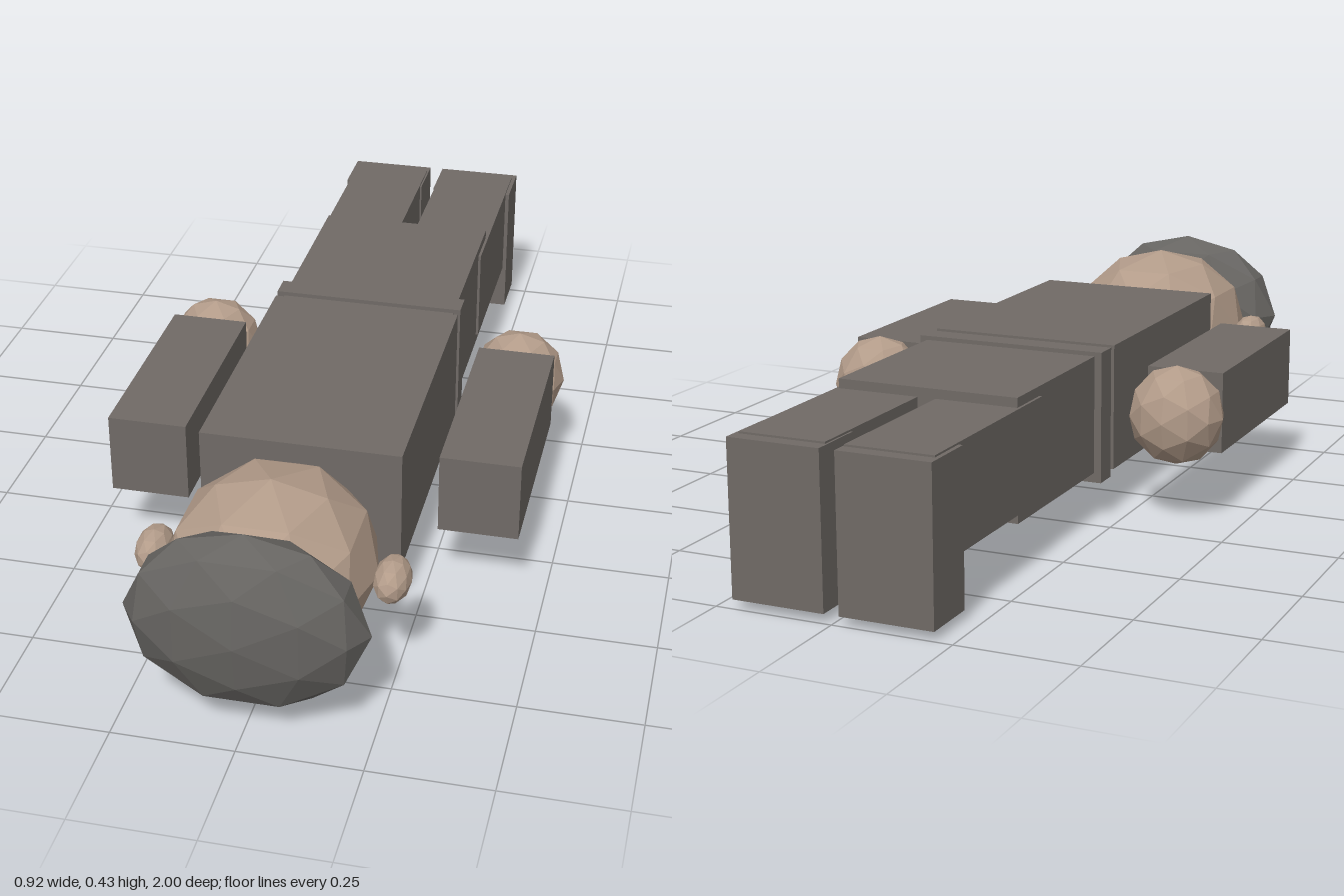
import * as THREE from 'three';

const paint = (name, color) => {
  const m = new THREE.MeshStandardMaterial({ color });
  m.name = name;
  m.flatShading = true;
  return m;
};

// A figure lying face down: head towards +z, face towards the ground
export function createModel() {
  const cloth = paint('cloth grey', 0x706a66);
  const skin = paint('skin tan', 0xb29b89);
  const dark = paint('hair grey', 0x666461);
  const model = new THREE.Group();
  model.name = 'lyingFigure';

  const add = (name, geometry, material) => {
    const mesh = new THREE.Mesh(geometry, material);
    mesh.name = name;
    model.add(mesh);
    return mesh;
  };
  // Box given by its extents on each axis
  const box = (name, [x0, x1], [y0, y1], [z0, z1], material) =>
    add(name, new THREE.BoxGeometry(x1 - x0, y1 - y0, z1 - z0), material)
      .position.set((x0 + x1) / 2, (y0 + y1) / 2, (z0 + z1) / 2);
  // Faceted ellipsoid given by centre and radii
  const ball = (name, centre, radii, material) =>
    add(name, new THREE.IcosahedronGeometry(1, 1).scale(...radii), material)
      .position.set(...centre);

  // Body
  box('torso', [-0.212, 0.212], [0.098, 0.373], [-0.14, 0.48], cloth);
  box('belt', [-0.214, 0.214], [0.087, 0.373], [-0.216, -0.162], cloth);
  box('hips', [-0.198, 0.198], [0.108, 0.364], [-0.605, -0.14], cloth);

  // Head
  ball('head', [0, 0.238, 0.7], [0.213, 0.19, 0.24], skin);
  ball('hair', [0, 0.24, 0.9], [0.243, 0.193, 0.1], dark);
  ball('nose', [0, 0.027, 0.703], [0.023, 0.024, 0.024], skin);
  box('mouth', [-0.037, 0.037], [0.036, 0.047], [0.639, 0.653], dark);

  // Paired parts
  for (const [side, s] of [['left', 1], ['right', -1]]) {
    const span = (a, b) => (s > 0 ? [a, b] : [-b, -a]);
    box(side + 'Arm', span(0.271, 0.441), [0.147, 0.323], [-0.09, 0.387], cloth);
    ball(side + 'Hand', [s * 0.356, 0.235, -0.14], [0.104, 0.108, 0.094], skin);
    box(side + 'Leg', span(0.02, 0.204), [0.13, 0.344], [-0.97, -0.5], cloth);
    box(side + 'Shoe', span(0.016, 0.213), [0.022, 0.34], [-1, -0.875], cloth);
    ball(side + 'Ear', [s * 0.241, 0.235, 0.703], [0.038, 0.043, 0.062], skin);
    ball(side + 'Eye', [s * 0.075, 0.051, 0.757], [0.024, 0.016, 0.029], dark);
  }
  return model;
}
